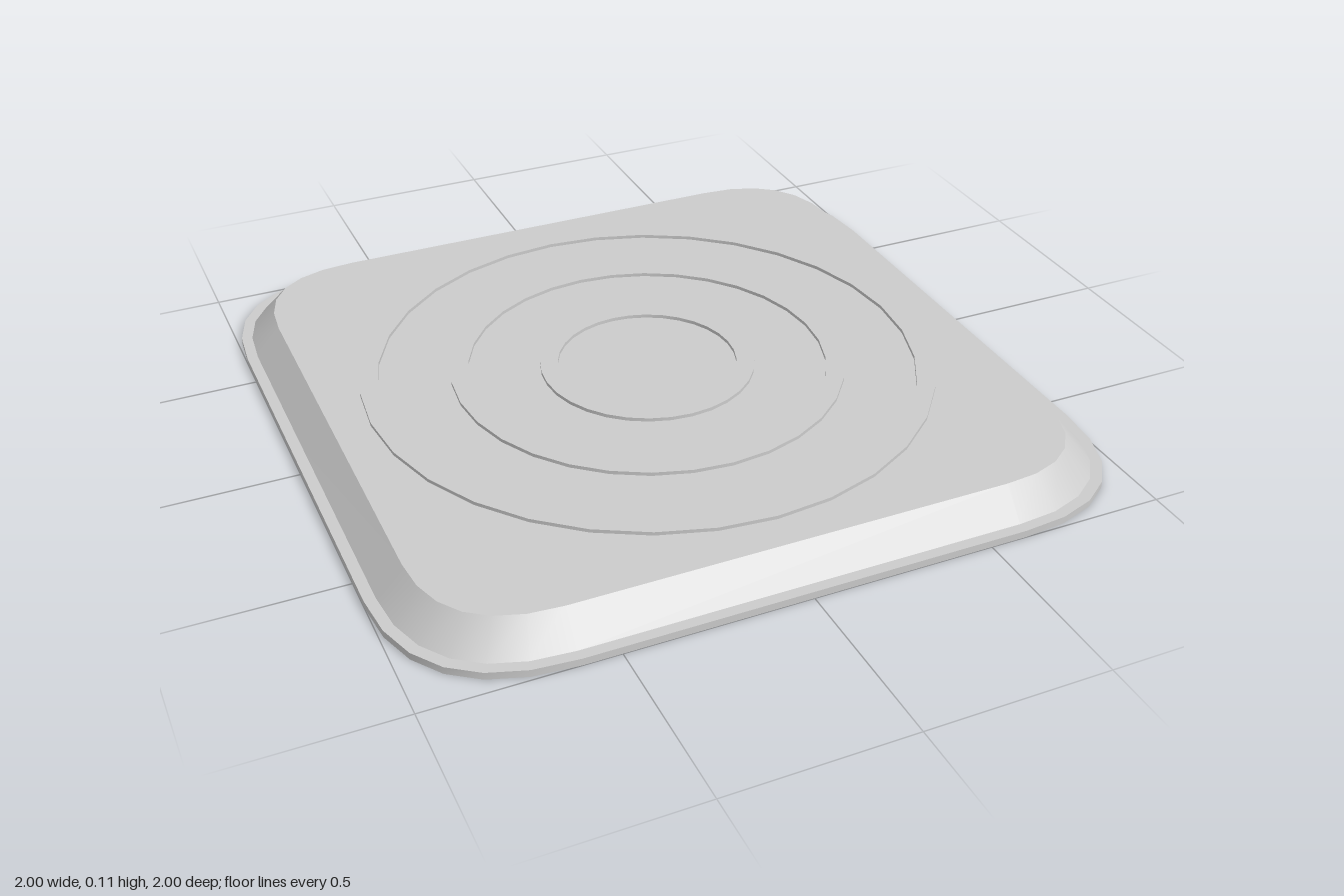
import * as THREE from 'three';
import { mergeGeometries } from 'three/addons/utils/BufferGeometryUtils.js';

const TOP = 0.1, RIDGE = 0.11, CORNER = 0.6;
const material = new THREE.MeshStandardMaterial({ color: 0xcccccc, side: THREE.DoubleSide });

// Outline of a square with soft corners, counter-clockwise seen from above
function squareLoop(half, steps = 6) {
  const points = [];
  for (let k = 0; k < 4; k++) {
    const corner = new THREE.QuadraticBezierCurve(
      new THREE.Vector2(half, CORNER), new THREE.Vector2(half, half), new THREE.Vector2(CORNER, half));
    for (const p of corner.getPoints(steps)) {
      points.push(p.rotateAround(new THREE.Vector2(), k * Math.PI / 2));
    }
  }
  return points;
}

function circleLoop(radius, sides = 32) {
  return Array.from({ length: sides }, (_, i) => {
    const a = i / sides * Math.PI * 2;
    return new THREE.Vector2(Math.cos(a) * radius, Math.sin(a) * radius);
  });
}

// Closed strip from an outer or lower loop to an inner or upper one
function band(loopA, yA, loopB, yB) {
  const n = loopA.length, positions = [], index = [];
  loopA.forEach(p => positions.push(p.x, yA, -p.y));
  loopB.forEach(p => positions.push(p.x, yB, -p.y));
  for (let i = 0; i < n; i++) {
    const j = (i + 1) % n;
    index.push(i, j, n + j, i, n + j, n + i);
  }
  const g = new THREE.BufferGeometry();
  g.setAttribute('position', new THREE.Float32BufferAttribute(positions, 3));
  g.setIndex(index);
  g.computeVertexNormals();
  return g;
}

// Flat piece of the top sheet, with an optional hole
function flat(loop, hole) {
  const shape = new THREE.Shape(loop);
  if (hole) shape.holes.push(new THREE.Path(hole));
  const g = new THREE.ShapeGeometry(shape);
  g.deleteAttribute('uv');
  return g.rotateX(-Math.PI / 2).translate(0, TOP, 0);
}

export function createModel() {
  const group = new THREE.Group();
  const add = (name, ...parts) => {
    const mesh = new THREE.Mesh(mergeGeometries(parts), material);
    mesh.name = name;
    group.add(mesh);
  };

  // Open-bottomed rim with a narrow ledge, then the sloping side
  const edge = squareLoop(1), ledge = squareLoop(0.97), crown = squareLoop(0.9);
  add('rim', band(edge, 0, edge, 0.02), band(edge, 0.02, ledge, 0.02));
  add('slopedSide', band(ledge, 0.02, crown, TOP));

  // Raised rings pressed into the thin top sheet, hollow underneath
  const rings = [[0.8, 0.75], [0.55, 0.5], [0.3, 0.25]];
  const panels = [flat(crown, circleLoop(rings[0][0]))];
  rings.forEach(([outer, inner], i) => {
    const a = circleLoop(outer), b = circleLoop(inner);
    add(`raisedRing${i + 1}`,
      band(a, TOP, a, RIDGE), band(a, RIDGE, b, RIDGE), band(b, RIDGE, b, TOP));
    const next = rings[i + 1];
    panels.push(flat(b, next && circleLoop(next[0])));
  });
  add('topPanel', ...panels);

  return group;
}
